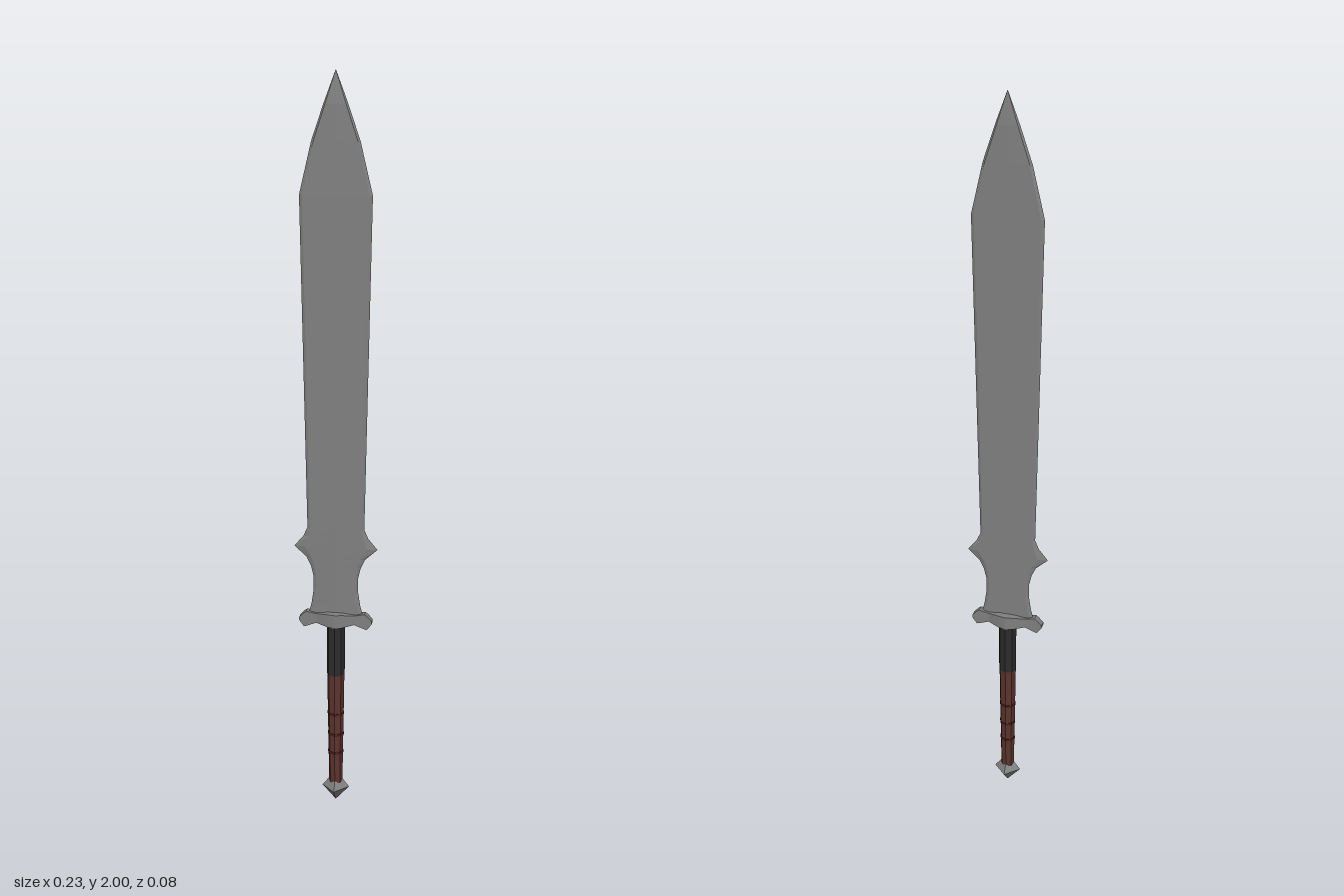
import * as THREE from 'three';

const mat = (name, color) => Object.assign(new THREE.MeshStandardMaterial({ color, flatShading: true }), { name });

// Skins a list of equal-length rings (counter-clockwise seen from the end) and caps both ends
function loft(rings) {
  const pos = [], n = rings[0].length;
  const tri = (a, b, c) => pos.push(...a, ...b, ...c);
  for (let i = 0; i < rings.length - 1; i++) {
    const A = rings[i], B = rings[i + 1];
    for (let j = 0; j < n; j++) {
      const k = (j + 1) % n;
      tri(A[j], A[k], B[k]);
      tri(A[j], B[k], B[j]);
    }
  }
  const first = rings[0], last = rings[rings.length - 1];
  for (let j = 1; j < n - 1; j++) {
    tri(first[0], first[j + 1], first[j]);
    tri(last[0], last[j], last[j + 1]);
  }
  const g = new THREE.BufferGeometry();
  g.setAttribute('position', new THREE.Float32BufferAttribute(pos, 3));
  g.computeVertexNormals();
  return g;
}

export function createModel() {
  const steel = mat('steel', 0x808080);
  const black = mat('black leather', 0x2c2c2c);
  const brown = mat('brown leather', 0x5c342d);
  const red = mat('dark red cord', 0x4e1c1c);
  const group = new THREE.Group();
  const add = (name, geo, material, y = 0) => {
    const m = new THREE.Mesh(geo, material);
    m.name = name;
    m.position.y = y;
    group.add(m);
    return m;
  };

  // Blade: [height, half width, half width of the flat core]
  const rows = [
    [0.56, 0.078, 0.068], [0.60, 0.067, 0.058], [0.64, 0.061, 0.053], [0.68, 0.061, 0.053],
    [0.71, 0.068, 0.058], [0.735, 0.08, 0.066], [0.765, 0.113, 0.085], [0.795, 0.088, 0.075],
    [0.82, 0.077, 0.070], [1.70, 0.093, 0.085], [1.83, 0.062, 0.056], [1.92, 0.031, 0.026], [2.0, 0.0005, 0.0003],
  ];
  add('blade', loft(rows.map(([y, w, c]) => {
    const t = y === 2 ? 0.0003 : 0.004;
    return [[w, y, 0], [c, y, -t], [0, y, -t * 1.2], [-c, y, -t], [-w, y, 0], [-c, y, t], [0, y, t * 1.2], [c, y, t]];
  })), steel);

  // Guard: [x, top, bottom, half depth], swelling around the grip
  const half = [[0, 0.578, 0.54, 0.027], [0.02, 0.578, 0.541, 0.023], [0.052, 0.574, 0.547, 0.011],
    [0.08, 0.579, 0.536, 0.01], [0.087, 0.574, 0.534, 0.01], [0.1, 0.56, 0.552, 0.01]];
  const stations = [...half.slice(1).reverse().map(([x, ...r]) => [-x, ...r]), ...half];
  add('guard', loft(stations.map(([x, top, bottom, d]) =>
    [[x, bottom, d], [x, bottom, -d], [x, top, -d], [x, top, d]])), steel);

  // Grip in two wraps with thin cords
  add('upperGrip', new THREE.CylinderGeometry(0.025, 0.025, 0.15, 8), black, 0.47);
  add('lowerGrip', new THREE.CylinderGeometry(0.024, 0.019, 0.335, 8), brown, 0.2275);
  for (const [y, r] of [[0.275, 0.0235], [0.212, 0.0227], [0.155, 0.0218]])
    add('gripCord', new THREE.CylinderGeometry(r, r, 0.007, 8), red, y);

  // Four-sided pommel
  const profile = [[0, 0], [0.038, 0.043], [0.02, 0.066], [0, 0.066]].map(p => new THREE.Vector2(...p));
  add('pommel', new THREE.LatheGeometry(profile, 4), steel);

  return group;
}
